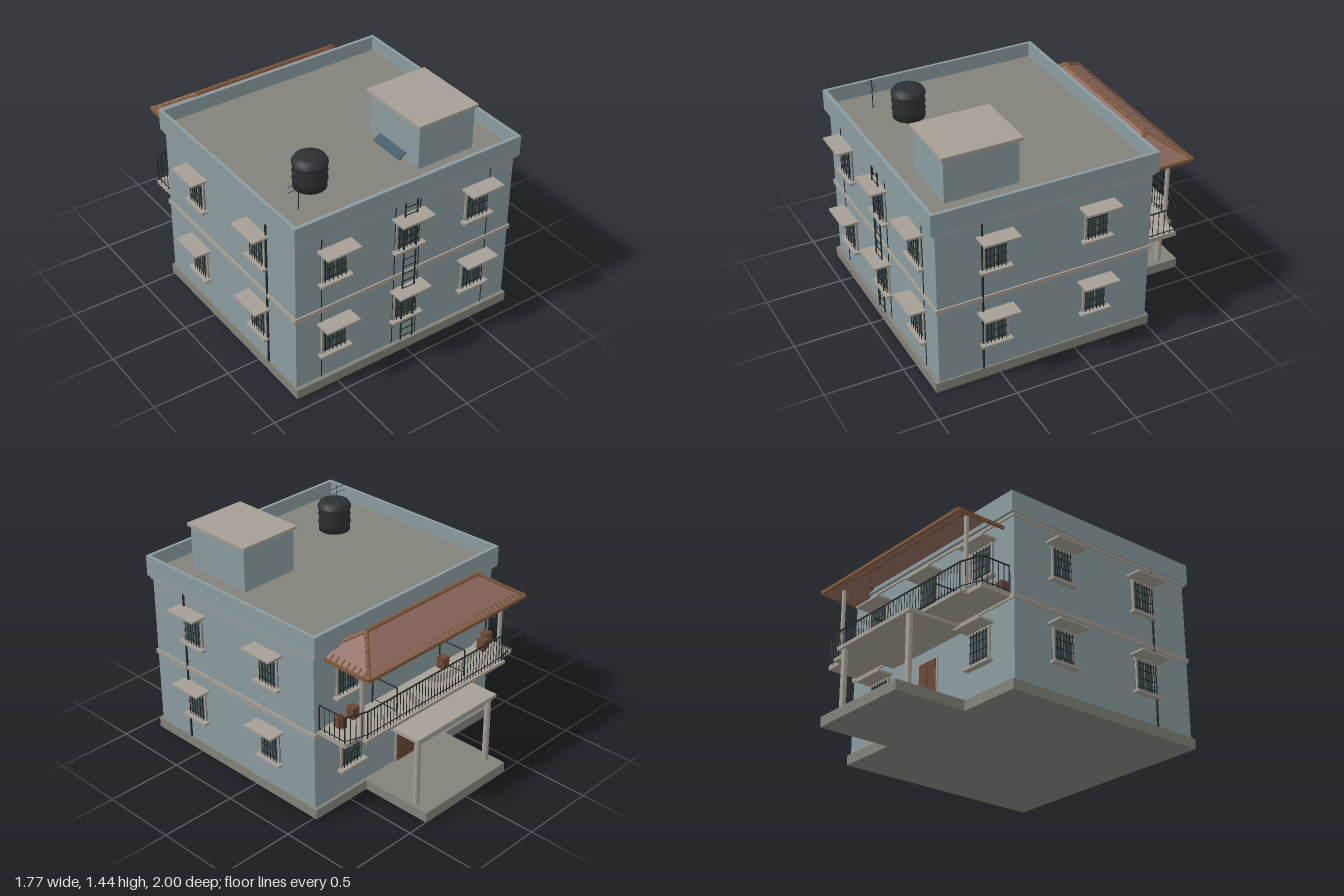
import * as THREE from 'three';

const mat = (color, side = THREE.FrontSide) => new THREE.MeshStandardMaterial({ color, side });
const WALL = mat(0x8a9b9f), STONE = mat(0x82827a), TRIM = mat(0xa59f94), DARK = mat(0x22282a);
const GLASS = mat(0x3f5357), WOOD = mat(0x6b4632), TILE = mat(0x8c675d, THREE.DoubleSide);
const RIDGE = mat(0x80593b), BLACK = mat(0x2c3032), BLUE = mat(0x35505f);

function add(parent, name, geo, material, x = 0, y = 0, z = 0) {
  const m = new THREE.Mesh(geo, material);
  m.name = name;
  m.position.set(x, y, z);
  parent.add(m);
  return m;
}

// Box given by its minimum and maximum on each axis
function block(parent, name, material, x0, x1, y0, y1, z0, z1) {
  return add(parent, name, new THREE.BoxGeometry(x1 - x0, y1 - y0, z1 - z0), material,
    (x0 + x1) / 2, (y0 + y1) / 2, (z0 + z1) / 2);
}

// Round bar between two points
function bar(parent, name, material, a, b, r, sides = 6) {
  const A = new THREE.Vector3(...a), B = new THREE.Vector3(...b), d = B.clone().sub(A);
  const m = add(parent, name, new THREE.CylinderGeometry(r, r, d.length(), sides), material);
  m.position.copy(A).add(B).multiplyScalar(0.5);
  m.quaternion.setFromUnitVectors(new THREE.Vector3(0, 1, 0), d.normalize());
  return m;
}

// Barred window with frame, sill and sunshade; faces local +z, origin at the sill
function makeWindow(w) {
  const g = new THREE.Group(), h = 0.215, f = 0.013, x = w / 2;
  g.name = 'window';
  block(g, 'glass', GLASS, -x, x, 0, h, -0.004, 0.003);
  for (const s of [-1, 1]) block(g, 'frameSide', TRIM, s * (x - f / 2) - f / 2, s * (x - f / 2) + f / 2, 0, h, 0, 0.012);
  block(g, 'frameTop', TRIM, -x - 0.006, x + 0.006, h - f, h, 0, 0.016);
  block(g, 'mullion', TRIM, -0.004, 0.004, 0, h, 0, 0.007);
  block(g, 'sill', TRIM, -x - 0.02, x + 0.02, -0.012, 0.004, 0, 0.04);
  block(g, 'sunshade', TRIM, -0.115, 0.115, h + 0.008, h + 0.021, 0, 0.108);
  for (let i = 0; i < 6; i++) {
    const bx = (i / 5 - 0.5) * (w - 0.04);
    block(g, 'grilleBar', DARK, bx - 0.002, bx + 0.002, 0.004, h - 0.008, 0.016, 0.02);
  }
  for (const y of [0.035, 0.09, 0.145, 0.19]) block(g, 'grilleRail', DARK, -x + 0.01, x - 0.01, y - 0.002, y + 0.002, 0.014, 0.018);
  return g;
}

// Railing along a line in plan, with optional balusters
function railing(parent, x0, z0, x1, z1, n) {
  const g = new THREE.Group();
  g.name = 'railing';
  bar(g, 'topRail', DARK, [x0, 0.77, z0], [x1, 0.77, z1], 0.005);
  bar(g, 'bottomRail', DARK, [x0, 0.615, z0], [x1, 0.615, z1], 0.003);
  for (let i = 0; i <= n; i++) {
    const t = i / n, x = x0 + (x1 - x0) * t, z = z0 + (z1 - z0) * t;
    bar(g, 'baluster', DARK, [x, 0.59, z], [x, 0.77, z], i % n ? 0.0025 : 0.005, 5);
  }
  parent.add(g);
}

// Hipped tile canopy over the balcony
function makeCanopy() {
  const g = new THREE.Group();
  g.name = 'tiledCanopy';
  const ye = 1.045, yr = 1.19, zf = -0.835, zb = -0.41, zr = -0.622, X = 0.685, R = 0.48;
  const p = [[-X, ye, zf], [X, ye, zf], [X, ye, zb], [-X, ye, zb], [-R, yr, zr], [R, yr, zr]];
  const faces = [[0, 4, 5], [0, 5, 1], [1, 5, 2], [2, 5, 4], [2, 4, 3], [3, 4, 0]];
  const geo = new THREE.BufferGeometry();
  geo.setAttribute('position', new THREE.Float32BufferAttribute(faces.flat().flatMap(i => p[i]), 3));
  geo.computeVertexNormals();
  add(g, 'roofSlopes', geo, TILE);
  // Overlapping ridge tiles
  const tiles = (a, b, n) => {
    for (let i = 0; i < n; i++) {
      const at = t => a.map((v, k) => v + (b[k] - v) * t);
      bar(g, 'ridgeTile', RIDGE, at(i / n), at((i + 0.93) / n), i % 2 ? 0.012 : 0.0135, 8);
    }
  };
  tiles(p[4], p[5], 16);
  for (const [a, b] of [[0, 4], [1, 5], [2, 5], [3, 4]]) tiles(p[a], p[b], 7);
  // Eave boards and tile ends
  block(g, 'eaveBoard', RIDGE, -X, X, ye - 0.014, ye + 0.006, zf - 0.006, zf + 0.008);
  for (const s of [-1, 1]) {
    block(g, 'sideEaveBoard', RIDGE, s * X - 0.007, s * X + 0.007, ye - 0.014, ye + 0.006, zf, -0.5);
    for (let i = 1; i < 8; i++) {
      const z = zf + i * 0.043;
      bar(g, 'tileEnd', RIDGE, [s * (X + 0.004), ye + 0.003, z], [s * (X - 0.035), ye + 0.03, z], 0.006);
    }
  }
  for (let i = 1; i < 34; i++) {
    const x = -X + i * 2 * X / 34;
    bar(g, 'tileEnd', RIDGE, [x, ye + 0.003, zf - 0.004], [x * 0.985, ye + 0.03, zf + 0.035], 0.006);
  }
  return g;
}

export function createModel() {
  const house = new THREE.Group();
  house.name = 'house';

  // Main block, plinth and bands
  block(house, 'plinth', STONE, -0.785, 0.785, 0, 0.065, -0.52, 0.915);
  block(house, 'walls', WALL, -0.775, 0.775, 0.065, 1.1, -0.5, 0.89);
  block(house, 'floorBand', TRIM, -0.785, 0.785, 0.557, 0.585, -0.51, 0.9);
  block(house, 'cornice', TRIM, -0.785, 0.785, 1.082, 1.1, -0.512, 0.905);
  block(house, 'roofDeck', STONE, -0.78, 0.78, 1.1, 1.14, -0.515, 0.905);
  for (const s of [-1, 1]) block(house, 'sideParapet', WALL, s * 0.785 - 0.01, s * 0.785 + 0.01, 1.1, 1.235, -0.53, 0.92);
  block(house, 'frontParapet', WALL, -0.775, 0.775, 1.1, 1.235, 0.897, 0.92);
  block(house, 'backParapet', WALL, -0.775, 0.775, 1.1, 1.235, -0.53, -0.507);

  // Windows on each side and both floors
  for (const y of [0.245, 0.765]) {
    const place = (w, x, z, turn) => {
      const win = makeWindow(w);
      win.position.set(x, y, z);
      win.rotation.y = turn;
      house.add(win);
    };
    for (const x of [-0.515, 0, 0.508]) place(0.18, x, 0.89, 0);
    for (const z of [0.525, -0.13]) {
      place(0.16, 0.775, z, Math.PI / 2);
      place(0.16, -0.775, z - 0.01, -Math.PI / 2);
    }
    for (const x of y < 0.5 ? [-0.48, 0.48] : [-0.505, 0, 0.515]) place(0.18, x, -0.5, Math.PI);
  }

  // Drainpipes
  for (const x of [-0.6, -0.09, 0.085, 0.6]) bar(house, 'frontPipe', DARK, [x, 0.065, 0.892], [x, 1.09, 0.892], 0.003);
  for (const s of [-1, 1]) bar(house, 'sidePipe', DARK, [s * 0.779, 0.065, 0.605], [s * 0.779, 1.09, 0.605], 0.007, 8);

  // Roof ladder
  const ladder = new THREE.Group();
  ladder.name = 'ladder';
  house.add(ladder);
  for (const s of [-1, 1]) bar(ladder, 'ladderRail', DARK, [s * 0.043, 0.085, 0.918], [s * 0.043, 1.1, 0.918], 0.005);
  for (let i = 0; i < 19; i++) bar(ladder, 'rung', DARK, [-0.043, 0.11 + i * 0.053, 0.918], [0.043, 0.11 + i * 0.053, 0.918], 0.003);

  // Stair house with its small hatch
  block(house, 'stairHouse', WALL, 0.18, 0.58, 1.14, 1.42, 0.27, 0.74);
  block(house, 'stairHouseRoof', TRIM, 0.165, 0.595, 1.42, 1.44, 0.25, 0.755);
  const hatch = block(house, 'hatch', BLUE, 0.122, 0.182, 1.174, 1.182, 0.38, 0.63);
  hatch.rotation.z = 0.6;

  // Water tank
  const profile = [[0, 0], [0.1, 0], [0.1, 0.05], [0.105, 0.055], [0.1, 0.06], [0.1, 0.1], [0.105, 0.105], [0.1, 0.11],
    [0.1, 0.15], [0.106, 0.155], [0.106, 0.167], [0.097, 0.17], [0.094, 0.188], [0.06, 0.195], [0.055, 0.2], [0, 0.2]];
  const tank = add(house, 'waterTank', new THREE.LatheGeometry(profile.map(q => new THREE.Vector2(...q)), 32), BLACK, -0.415, 1.14, 0.51);
  tank.material.side = THREE.DoubleSide;

  // Aerial
  bar(house, 'aerialPole', DARK, [-0.6, 1.14, 0.67], [-0.6, 1.335, 0.67], 0.003);
  for (const y of [1.279, 1.316]) bar(house, 'aerialArm', DARK, [-0.675, y, 0.67], [-0.53, y, 0.67], 0.0015);

  // Porch and door
  block(house, 'porchFloor', STONE, -0.365, 0.36, 0, 0.065, -1, -0.52);
  block(house, 'porchRoof', TRIM, -0.355, 0.355, 0.508, 0.53, -0.915, -0.5);
  block(house, 'doorFrame', TRIM, -0.09, 0.09, 0.065, 0.44, -0.508, -0.5);
  block(house, 'door', WOOD, -0.078, 0.078, 0.065, 0.428, -0.513, -0.5);
  for (const s of [-1, 1]) {
    bar(house, 'porchColumn', TRIM, [s * 0.318, 0.065, -0.883], [s * 0.318, 0.51, -0.883], 0.02, 20);
    add(house, 'doorHandle', new THREE.SphereGeometry(0.005, 8, 6), DARK, s * 0.012, 0.23, -0.515);
  }
  block(house, 'doorSplit', DARK, -0.0015, 0.0015, 0.065, 0.428, -0.5145, -0.51);

  // Balcony
  block(house, 'balconySlab', TRIM, -0.62, 0.62, 0.57, 0.59, -0.765, -0.5);
  railing(house, -0.6, -0.75, 0.6, -0.75, 44);
  for (const s of [-1, 1]) {
    block(house, 'balconyEnd', TRIM, s * 0.6825 - 0.0625, s * 0.6825 + 0.0625, 0.57, 0.6, -0.715, -0.5);
    railing(house, s * 0.74, -0.505, s * 0.74, -0.705, 5);
    railing(house, s * 0.74, -0.705, s * 0.6, -0.75, 4);
    railing(house, s * 0.3, -0.505, s * 0.3, -0.7, 1);
    bar(house, 'canopyPost', TRIM, [s * 0.61, 0.59, -0.715], [s * 0.61, 1.07, -0.715], 0.014, 16);
  }
  for (const [x, z] of [[0.626, -0.56], [0.495, -0.535], [-0.292, -0.541], [-0.63, -0.577], [-0.713, -0.537]])
    block(house, 'planter', WOOD, x - 0.027, x + 0.027, 0.59, 0.665, z - 0.027, z + 0.027);

  house.add(makeCanopy());
  return house;
}
